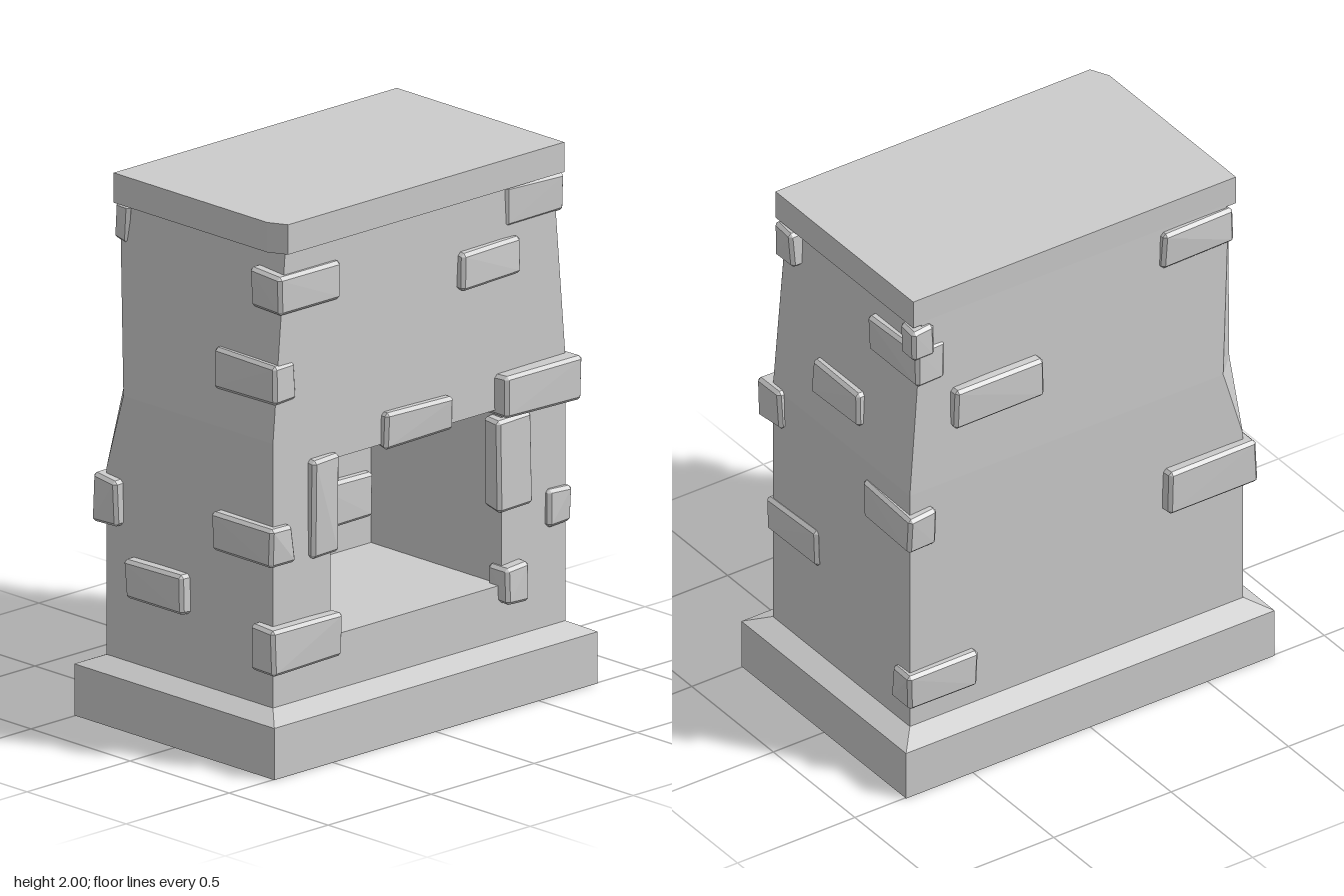
import * as THREE from 'three';
import { ConvexGeometry } from 'three/addons/geometries/ConvexGeometry.js';

const stone = new THREE.MeshStandardMaterial({ color: 0xcccccc, flatShading: true });
const shell = new THREE.MeshStandardMaterial({ color: 0xcccccc, flatShading: true, side: THREE.DoubleSide });

// Small seeded generator for chiselled stone corners
function seeded(seed) {
  return () => (seed = (seed * 16807) % 2147483647) / 2147483647;
}

// Faceted skin across rings of points; each ring has the same point count
function loft(rings, closed) {
  const out = [];
  for (let r = 0; r < rings.length - 1; r++) {
    const n = rings[r].length;
    for (let i = 0; i < (closed ? n : n - 1); i++) {
      const j = (i + 1) % n;
      const [a, b, c, d] = [rings[r][i], rings[r][j], rings[r + 1][j], rings[r + 1][i]];
      out.push(...a, ...b, ...c, ...a, ...c, ...d);
    }
  }
  const g = new THREE.BufferGeometry();
  g.setAttribute('position', new THREE.Float32BufferAttribute(out, 3));
  g.computeVertexNormals();
  return g;
}

// Box with chamfered, slightly irregular corners
function brickGeometry([x0, x1, y0, y1, z0, z1], rand) {
  const pts = [];
  const c = 0.012;
  for (const sx of [0, 1]) for (const sy of [0, 1]) for (const sz of [0, 1]) {
    const jit = () => rand() * 0.012;
    const p = [
      sx ? x1 - jit() : x0 + jit(),
      sy ? y1 - jit() : y0 + jit(),
      sz ? z1 - jit() : z0 + jit(),
    ];
    const inward = [sx ? -c : c, sy ? -c : c, sz ? -c : c];
    for (let axis = 0; axis < 3; axis++) {
      pts.push(new THREE.Vector3(...p.map((v, k) => (k === axis ? v : v + inward[k]))));
    }
  }
  return new ConvexGeometry(pts);
}

export function createModel() {
  const group = new THREE.Group();
  const add = (name, geometry, material = stone) => {
    const mesh = new THREE.Mesh(geometry, material);
    mesh.name = name;
    group.add(mesh);
    return mesh;
  };

  // Hollow plinth with a sloped upper edge
  const plinth = [
    [0.67, 0.39, 0.225], [0.67, 0.39, 0], [0.785, 0.505, 0],
    [0.785, 0.505, 0.19], [0.71, 0.42, 0.228],
  ].map(([x, z, y]) => [[x, y, z], [x, y, -z], [-x, y, -z], [-x, y, z]]);
  add('plinth', loft(plinth, true), shell);

  // Side and back walls, with a long chip out of one back corner
  const walls = [
    // y, half width, back depth, chip size
    [0.2, 0.71, 0.42, 0.001], [0.92, 0.71, 0.42, 0.001], [1.2, 0.71, 0.42, 0.085],
    [1.82, 0.656, 0.407, 0.001], [1.9, 0.65, 0.405, 0.001],
  ].map(([y, w, b, c]) => [
    [w, y, 0.42], [w, y, -b], [-w + c, y, -b], [-w, y, -b + c], [-w, y, 0.42],
  ]);
  add('walls', loft(walls, false), shell);

  // Front wall with the hearth opening
  const [left, right, floor, lintel, depth] = [-0.43, 0.4, 0.43, 1.08, 0.66];
  const corners = (list) => list.map(([x, y]) => new THREE.Vector2(x, y));
  const front = new THREE.Shape(corners([
    [-0.71, 0.2], [0.71, 0.2], [0.71, 1.2], [0.65, 1.9], [-0.65, 1.9], [-0.71, 1.2],
  ]));
  front.holes.push(new THREE.Path(corners([
    [left, floor], [left, lintel], [right, lintel], [right, floor],
  ])));
  add('frontWall', new THREE.ShapeGeometry(front), shell).position.z = 0.42;

  // Firebox: a box without its front face
  const firebox = new THREE.BoxGeometry(right - left, lintel - floor, depth);
  firebox.setIndex(Array.from(firebox.index.array).filter((_, i) => i < 24 || i >= 30));
  add('firebox', firebox, shell)
    .position.set((left + right) / 2, (floor + lintel) / 2, 0.42 - depth / 2);

  // Cap slab with one clipped corner
  const cap = new THREE.ExtrudeGeometry(new THREE.Shape(corners([
    [-0.655, -0.44], [0.685, -0.44], [0.685, 0.405], [-0.69, 0.405], [-0.69, -0.37],
  ])), { depth: 0.11, bevelEnabled: false });
  cap.rotateX(-Math.PI / 2).translate(0, 1.89, 0);
  add('cap', cap);

  // Protruding stones: x0, x1, y0, y1, z0, z1
  const stones = {
    frontStone: [
      [0.18, 0.48, 1.56, 1.71, 0.36, 0.455],
      [0.375, 0.5, 0.36, 0.51, 0.36, 0.475],
    ],
    lintelStone: [[-0.19, 0.15, 1.06, 1.2, 0.36, 0.455]],
    jambStone: [
      [-0.545, -0.405, 0.735, 1.11, 0.36, 0.455],
      [0.355, 0.53, 0.705, 1.05, 0.36, 0.455],
    ],
    frontCornerStone: [
      [-0.7, -0.39, 1.665, 1.82, 0.28, 0.45],
      [0.41, 0.71, 1.74, 1.895, 0.31, 0.435],
      [-0.715, -0.595, 1.335, 1.49, 0.11, 0.44],
      [0.36, 0.74, 1.05, 1.22, 0.345, 0.49],
      [-0.755, -0.625, 0.745, 0.9, 0.14, 0.455],
      [-0.755, -0.405, 0.355, 0.53, 0.33, 0.47],
      [0.61, 0.735, 0.585, 0.74, 0.13, 0.445],
    ],
    sideStone: [
      [0.6, 0.725, 1.31, 1.465, -0.12, 0.18],
      [-0.755, -0.65, 0.47, 0.625, -0.3, 0.01],
    ],
    backStone: [[0.15, 0.535, 1.42, 1.59, -0.455, -0.36]],
    backCornerStone: [
      [0.55, 0.69, 1.64, 1.8, -0.425, -0.12],
      [0.6, 0.71, 1.75, 1.89, -0.435, -0.34],
      [0.61, 0.735, 0.97, 1.125, -0.455, -0.145],
      [0.43, 0.738, 0.31, 0.46, -0.455, -0.33],
      [-0.755, -0.36, 0.72, 0.9, -0.468, -0.33],
      [-0.675, -0.36, 1.74, 1.89, -0.435, -0.35],
    ],
    fireboxStone: [
      [-0.4, -0.09, 0.9, 1.065, -0.3, -0.2],
      [0.115, 0.39, 0.53, 0.71, -0.3, -0.2],
      [-0.5, -0.4, 0.545, 0.71, -0.07, 0.25],
    ],
  };
  const rand = seeded(417);
  for (const [name, list] of Object.entries(stones)) {
    for (const box of list) add(name, brickGeometry(box, rand));
  }

  return group;
}
